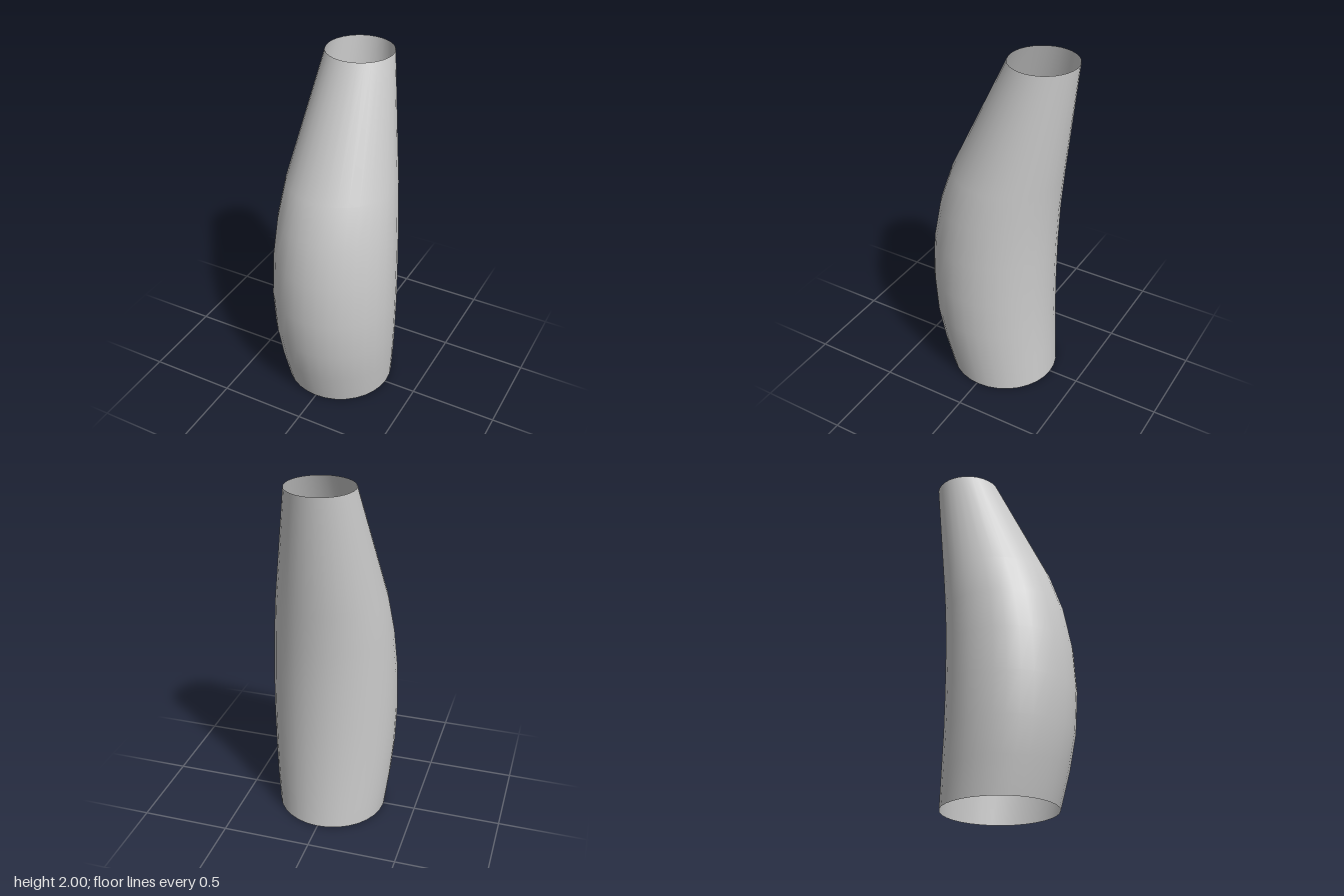
import * as THREE from 'three';

// Circular cross-sections from bottom to top: [height, centre z, radius]
const SECTIONS = [
  [0, -0.012, 0.313],
  [0.2, 0.021, 0.335],
  [0.4, 0.046, 0.35],
  [0.63, 0.055, 0.356],
  [0.88, 0.046, 0.35],
  [1.11, 0.018, 0.333],
  [1.33, -0.03, 0.306],
  [2, -0.228, 0.184],
];
const SIDES = 32;

// Skin the rings into a smooth tube, open at both ends
function loftRings(sections, sides) {
  const positions = [];
  const indices = [];
  sections.forEach(([y, z, r], row) => {
    for (let i = 0; i < sides; i++) {
      const a = (i / sides) * Math.PI * 2;
      positions.push(Math.sin(a) * r, y, z + Math.cos(a) * r);
      if (row === sections.length - 1) continue;
      const p = row * sides + i;
      const q = row * sides + ((i + 1) % sides);
      indices.push(p, q, q + sides, p, q + sides, p + sides);
    }
  });
  const geometry = new THREE.BufferGeometry();
  geometry.setAttribute('position', new THREE.Float32BufferAttribute(positions, 3));
  geometry.setIndex(indices);
  geometry.computeVertexNormals();
  return geometry;
}

export function createModel() {
  const group = new THREE.Group();
  group.name = 'taperedSleeve';

  // Thin curved shell
  const material = new THREE.MeshStandardMaterial({ color: 0xcccccc, side: THREE.DoubleSide });
  const shell = new THREE.Mesh(loftRings(SECTIONS, SIDES), material);
  shell.name = 'sleeveShell';
  group.add(shell);

  return group;
}
